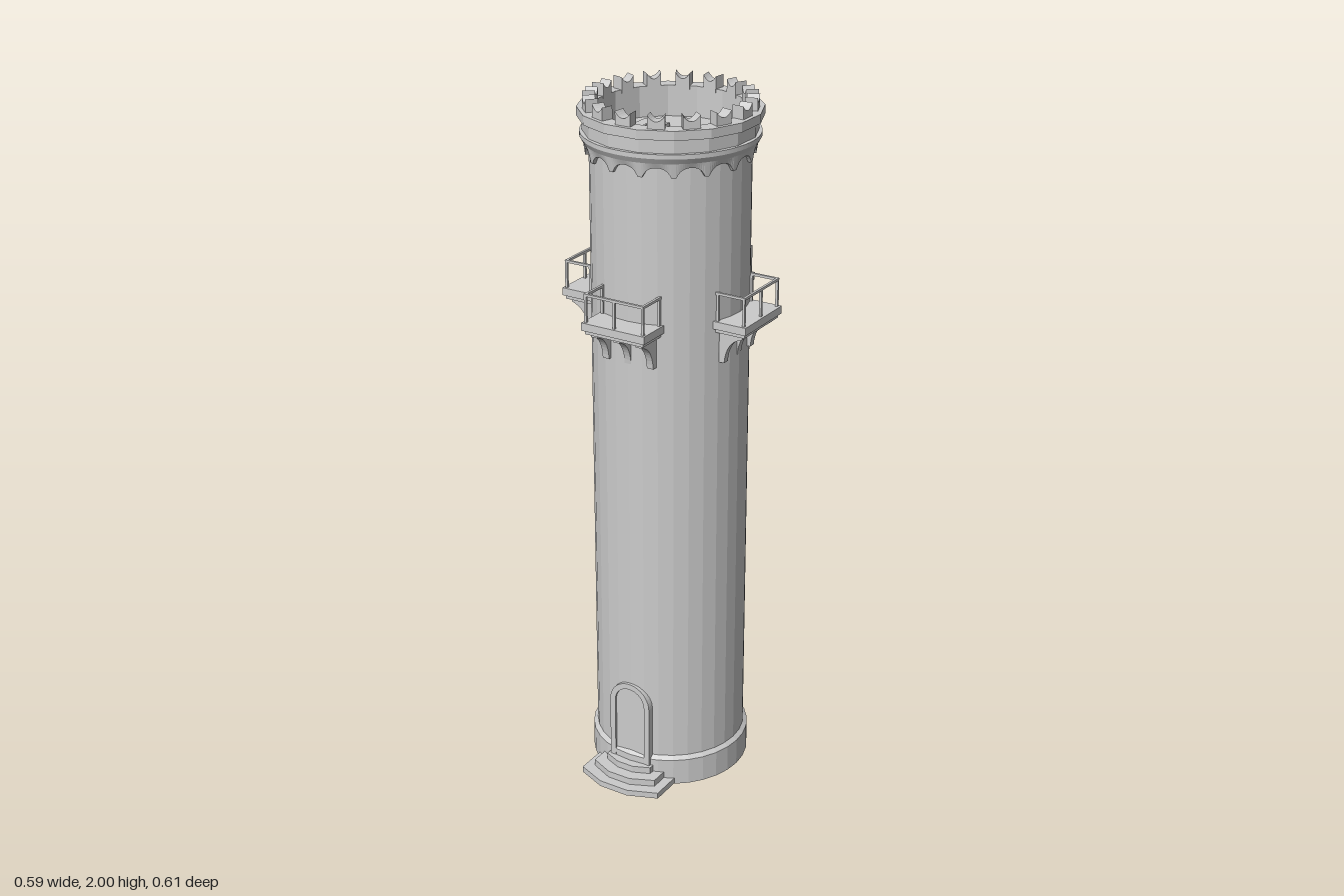
import * as THREE from 'three';

const flat = new THREE.MeshStandardMaterial({ color: 0xcccccc, flatShading: true });
const TAU = Math.PI * 2;

function add(parent, name, geometry, x = 0, y = 0, z = 0) {
  const mesh = new THREE.Mesh(geometry, flat);
  mesh.name = name;
  mesh.position.set(x, y, z);
  parent.add(mesh);
  return mesh;
}

function lathe(points, sides, start = 0) {
  return new THREE.LatheGeometry(points.map(p => new THREE.Vector2(p[0], p[1])), sides, start);
}

function extrude(shape, depth) {
  return new THREE.ExtrudeGeometry(shape, { depth, bevelEnabled: false, curveSegments: 10 });
}

function box(parent, name, w, h, d, x, y, z) {
  return add(parent, name, new THREE.BoxGeometry(w, h, d), x, y, z);
}

// Flared ring whose lower edge is cut into small arches
function corbelGeometry() {
  const geo = lathe([[0.205, 1.84], [0.226, 1.84], [0.232, 1.875], [0.241, 1.89], [0.241, 1.902], [0.205, 1.902]], 256);
  const pos = geo.attributes.position;
  for (let i = 0; i < pos.count; i++) {
    if (pos.getY(i) > 1.85) continue;
    const turn = Math.atan2(pos.getX(i), pos.getZ(i)) / TAU * 16;
    const u = Math.min(1, Math.abs(turn - Math.round(turn)) * 2 / 0.8);
    pos.setY(i, 1.835 + 0.027 * Math.sqrt(1 - u * u));
  }
  geo.computeVertexNormals();
  return geo;
}

// Battlement block with a hollowed top, narrower towards the inside
function merlonGeometry() {
  const s = new THREE.Shape();
  s.moveTo(-0.023, 1.955);
  s.lineTo(0.023, 1.955);
  s.lineTo(0.023, 2);
  s.quadraticCurveTo(0, 1.968, -0.023, 2);
  const geo = extrude(s, 0.034);
  const pos = geo.attributes.position;
  for (let i = 0; i < pos.count; i++) {
    if (pos.getZ(i) < 0.01) pos.setX(i, pos.getX(i) * 0.84);
  }
  geo.translate(0, 0, 0.198);
  return geo;
}

// Arched outline standing on y = 0.06
function arch(path, halfWidth, spring) {
  path.moveTo(-halfWidth, 0.06);
  path.lineTo(halfWidth, 0.06);
  path.lineTo(halfWidth, spring);
  path.absarc(0, spring, halfWidth, 0, Math.PI, false);
  path.lineTo(-halfWidth, 0.06);
  return path;
}

function createBalcony() {
  const g = new THREE.Group();
  g.name = 'balcony';
  box(g, 'balconySlab', 0.196, 0.022, 0.12, 0, 1.42, 0.231);
  box(g, 'balconyTrim', 0.182, 0.012, 0.114, 0, 1.404, 0.227);

  // Curved brackets under the slab
  const s = new THREE.Shape();
  s.moveTo(0.19, 1.4);
  s.lineTo(0.19, 1.31);
  s.lineTo(0.217, 1.31);
  s.quadraticCurveTo(0.222, 1.375, 0.272, 1.388);
  s.lineTo(0.272, 1.4);
  const bracket = extrude(s, 0.02).translate(0, 0, -0.01).rotateY(-Math.PI / 2);
  for (const x of [-0.07, 0, 0.07]) add(g, 'bracket', bracket, x);

  // Railing
  const post = 0.007, side = 0.089, front = 0.281, back = 0.19, top = 1.508;
  box(g, 'frontRail', side * 2 + post, post, post, 0, top, front);
  for (const x of [-side, side]) {
    box(g, 'sideRail', post, post, front - back, x, top, (front + back) / 2);
    for (const z of [front, 0.202]) box(g, 'railPost', post, 0.08, post, x, 1.47, z);
  }
  box(g, 'railPost', post, 0.08, post, 0, 1.47, front);
  return g;
}

export function createModel() {
  const model = new THREE.Group();
  model.name = 'tower';
  const tower = new THREE.Group();
  tower.name = 'towerParts';
  tower.position.set(-0.001, 0, -0.012);
  tower.rotation.y = -0.022;
  model.add(tower);

  // Shaft with plinth
  add(tower, 'shaft', lathe([[0, 0.002], [0.229, 0.002], [0.229, 0.082], [0.217, 0.092], [0.217, 1.89]], 32));

  // Parapet and roof floor
  add(tower, 'corbelRing', corbelGeometry());
  add(tower, 'parapet', lathe([[0.21, 1.88], [0.234, 1.9], [0.234, 1.936], [0.248, 1.94],
    [0.248, 1.965], [0.203, 1.965], [0.203, 1.88], [0, 1.88]], 16, Math.PI / 16));
  const merlon = merlonGeometry();
  for (let i = 0; i < 16; i++) add(tower, 'merlon', merlon).rotation.y = i / 16 * TAU;

  // Roof hatch with handle
  box(tower, 'hatch', 0.08, 0.012, 0.17, -0.096, 1.883, -0.002);
  box(tower, 'hatchHandle', 0.006, 0.005, 0.066, -0.068, 1.905, -0.002);
  for (const z of [-0.032, 0.028]) box(tower, 'handlePost', 0.006, 0.02, 0.006, -0.068, 1.896, z);

  // Balconies on four sides
  for (let i = 0; i < 4; i++) {
    const balcony = createBalcony();
    balcony.rotation.y = i * Math.PI / 2;
    tower.add(balcony);
  }

  // Arched door and frame
  const frame = arch(new THREE.Shape(), 0.066, 0.25);
  frame.holes.push(arch(new THREE.Path(), 0.049, 0.25));
  add(tower, 'doorFrame', extrude(frame, 0.035), 0, 0, 0.19);
  add(tower, 'door', extrude(arch(new THREE.Shape(), 0.05, 0.25), 0.028), 0, 0, 0.19);

  // Entrance steps with a faceted front
  const steps = [[0.13, 0.28, 0.314, 0.004, 0.022], [0.103, 0.255, 0.285, 0.022, 0.042], [0.074, 0.232, 0.252, 0.042, 0.062]];
  for (const [w, corner, front, low, high] of steps) {
    const s = new THREE.Shape();
    s.moveTo(-w, 0.15);
    s.lineTo(-w, corner);
    s.lineTo(-w * 0.35, front);
    s.lineTo(w * 0.35, front);
    s.lineTo(w, corner);
    s.lineTo(w, 0.15);
    add(tower, 'step', extrude(s, high - low).rotateX(Math.PI / 2), 0, high, 0);
  }
  return model;
}
